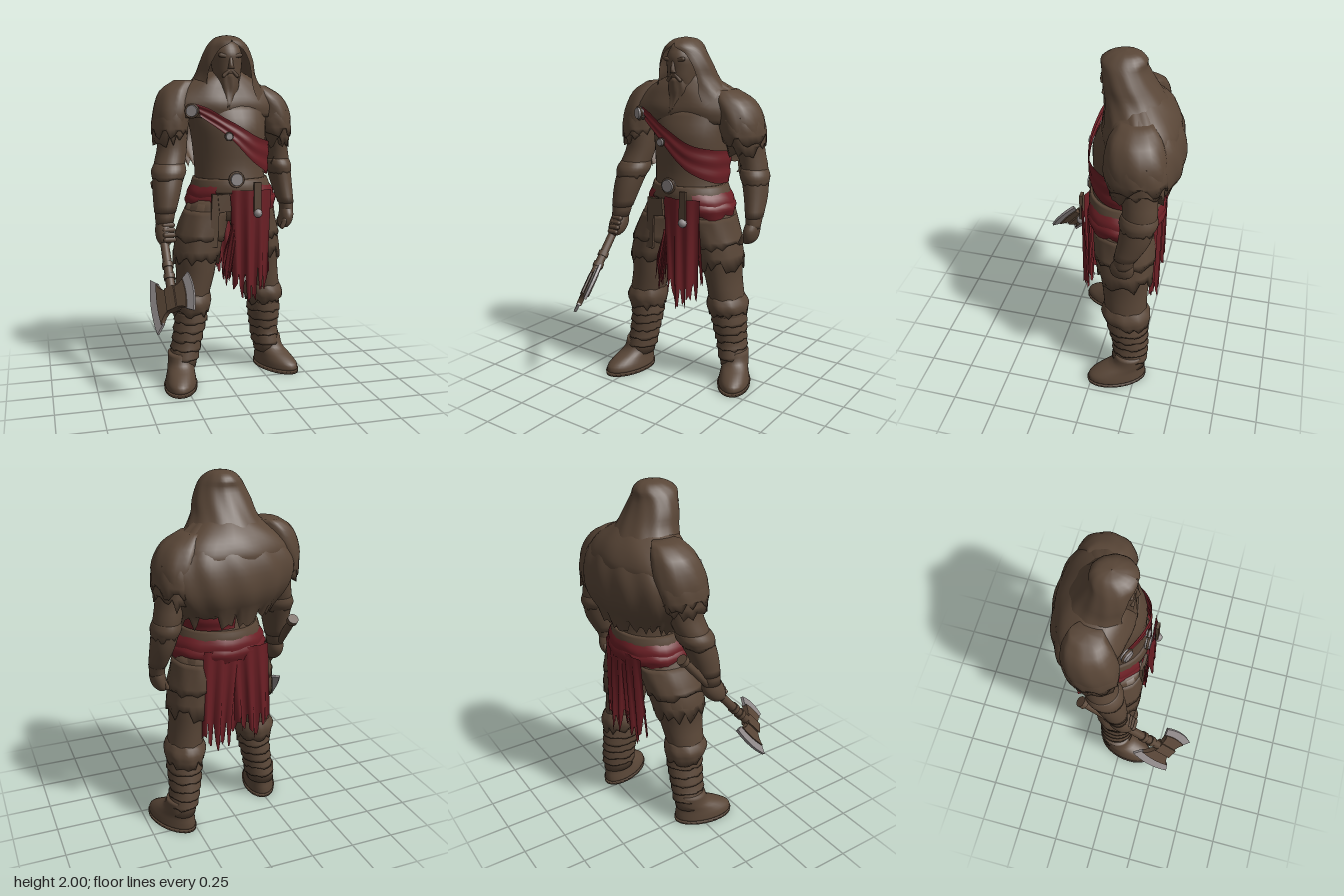
import * as THREE from 'three';

const material = (name, color, side = THREE.FrontSide) => {
  const m = new THREE.MeshStandardMaterial({ color, side });
  m.name = name;
  return m;
};
const V = (x, y, z) => new THREE.Vector3(x, y, z);
const spline = pts => new THREE.CatmullRomCurve3(pts, false, 'catmullrom');
const lerp = THREE.MathUtils.lerp;

export function createModel() {
  const root = new THREE.Group();
  root.name = 'axeWarrior';
  const brown = material('leatherBrown', 0x594637, THREE.DoubleSide);
  const red = material('clothRed', 0x6c1f25, THREE.DoubleSide);
  const metal = material('dullMetal', 0x918b8b);
  let seed = 7;
  const rand = () => (seed = (seed * 16807) % 2147483647) / 2147483647;

  const add = (name, geo, mat = brown, parent = root) => {
    const mesh = new THREE.Mesh(geo, mat);
    mesh.name = name;
    parent.add(mesh);
    return mesh;
  };
  const build = (pos, idx) => {
    const g = new THREE.BufferGeometry();
    g.setAttribute('position', new THREE.Float32BufferAttribute(pos, 3));
    g.setIndex(idx);
    g.computeVertexNormals();
    return g;
  };

  // Skin over elliptical rings [y, x, z, rx, rz, frontGap], listed from top to bottom
  function loft(name, rings, { mat = brown, seg = 30, sub = 3, jag = 0, fold = 0, folds = 9, skew = 0, parent = root } = {}) {
    const centre = spline(rings.map(r => V(r[1], r[0], r[2])));
    const size = spline(rings.map(r => V(r[3], r[4], r[5] || 0)));
    const open = rings.some(r => r[5]);
    const rows = (rings.length - 1) * sub, cols = open ? seg + 1 : seg;
    const pos = [], idx = [];
    for (let i = 0; i <= rows; i++) {
      const c = centre.getPoint(i / rows), s = size.getPoint(i / rows), gap = Math.max(0, s.z);
      for (let j = 0; j < cols; j++) {
        const a = Math.PI / 2 + gap + (j / seg) * (2 * Math.PI - 2 * gap);
        const k = 1 + fold * Math.sin(folds * a + i * 0.5);
        const drop = i === rows ? jag * (1.3 * rand() - 0.5) : 0;
        const dx = Math.cos(a) * s.x * k;
        pos.push(c.x + dx, c.y - drop, c.z + Math.sin(a) * s.y * k - skew * dx);
      }
    }
    for (let i = 0; i < rows; i++) for (let j = 0; j < seg; j++) {
      const a = i * cols + j, b = i * cols + (j + 1) % cols;
      idx.push(a, b, a + cols, b, b + cols, a + cols);
    }
    if (!open) [0, rows].forEach(i => {
      const c = centre.getPoint(i / rows), n = pos.length / 3;
      pos.push(c.x, c.y, c.z);
      for (let j = 0; j < seg; j++) {
        const a = i * cols + j, b = i * cols + (j + 1) % cols;
        i ? idx.push(n, a, b) : idx.push(n, b, a);
      }
    });
    return add(name, build(pos, idx), mat, parent);
  }
  // Ring of a limb at a given height, enlarged by k
  const ringAt = (rings, y, k = 1, gap = 0) => {
    let i = 0;
    while (i < rings.length - 2 && rings[i + 1][0] > y) i++;
    const a = rings[i], b = rings[i + 1], t = (y - a[0]) / (b[0] - a[0]);
    const r = a.map((v, n) => lerp(v, b[n], t));
    return [y, r[1], r[2], r[3] * k, r[4] * k, gap];
  };
  const band = (name, rings, y0, y1, k0, kMid, k1, opts = {}) => loft(name,
    [[y0, k0], [(y0 + y1) / 2, kMid], [y1, k1]].map(([y, k]) => ringAt(rings, y, k, opts.gap)), opts);
  // Open sheet from a rule (u, v) -> point
  const sheet = (name, nu, nv, rule, mat) => {
    const pos = [], idx = [];
    for (let j = 0; j <= nv; j++) for (let i = 0; i <= nu; i++) pos.push(...rule(i / nu, j / nv, i));
    for (let j = 0; j < nv; j++) for (let i = 0; i < nu; i++) {
      const a = j * (nu + 1) + i, c = a + nu + 1;
      idx.push(a, c, a + 1, a + 1, c, c + 1);
    }
    return add(name, build(pos, idx), mat);
  };

  // Torso
  const torso = [[1.62, .03, -.17, .25, .18], [1.5, .045, -.14, .225, .2], [1.4, .05, -.13, .215, .195],
    [1.28, .05, -.12, .205, .18], [1.18, .055, -.12, .208, .19], [1.08, .06, -.12, .24, .2], [.96, .06, -.12, .22, .17]];
  loft('torso', torso);

  // Head, face and beard
  loft('head', [[1.96, .025, -.09, .06, .07], [1.9, .025, -.08, .085, .1], [1.83, .025, -.08, .085, .098],
    [1.76, .025, -.075, .075, .085], [1.68, .025, -.12, .08, .08]]);
  loft('beard', [[1.785, .025, -.045, .058, .062], [1.72, .025, -.045, .064, .06], [1.67, .02, -.03, .048, .045],
    [1.6, .01, .0, .018, .03]], { fold: .05, jag: .02 });
  loft('nose', [[1.875, .025, .01, .01, .012], [1.83, .025, .016, .014, .02], [1.81, .025, .016, .02, .016]], { seg: 10 });
  [-1, 1].forEach(s => {
    const brow = add('brow', new THREE.CapsuleGeometry(.012, .045, 4, 8));
    brow.position.set(.025 + s * .035, 1.88, .006);
    brow.rotation.z = Math.PI / 2 + s * .2;
    const lip = add('moustache', new THREE.CapsuleGeometry(.01, .04, 4, 8));
    lip.position.set(.025 + s * .025, 1.785, .008);
    lip.rotation.z = s * .8;
  });

  // Hood, fur mantle and back cape
  loft('hood', [[2, .03, -.1, .001, .001, 0], [1.988, .03, -.1, .06, .07, 0], [1.955, .03, -.09, .1, .115, .05],
    [1.915, .03, -.09, .128, .118, .55], [1.85, .03, -.105, .155, .135, .75], [1.78, .03, -.13, .175, .155, .8],
    [1.7, .03, -.16, .225, .175, .65], [1.6, .03, -.19, .3, .2, .65]], { seg: 40, fold: .012, folds: 11 });
  loft('mantle', [[1.8, .03, -.15, .1, .1], [1.74, .02, -.165, .21, .15], [1.68, .02, -.18, .3, .185],
    [1.61, .02, -.185, .355, .21], [1.54, .02, -.185, .345, .2]], { seg: 40, fold: .012, skew: .1 });
  loft('backCape', [[1.79, .03, -.15, .12, .1, 1.3], [1.71, .03, -.175, .25, .155, 1.3], [1.62, .03, -.19, .36, .2, 1.3],
    [1.52, .03, -.2, .4, .222, 1.3], [1.4, .04, -.2, .37, .222, 1.35], [1.27, .05, -.175, .28, .18, 1.4]],
  { seg: 48, jag: .06, fold: .018, folds: 14, skew: .1 });
  const leftFur = [[1.72, .23, -.2, .06, .08], [1.66, .28, -.205, .11, .13], [1.57, .322, -.215, .118, .155],
    [1.48, .335, -.22, .112, .155], [1.4, .355, -.235, .09, .14]];
  const rightFur = [[1.75, -.2, -.165, .06, .08], [1.69, -.245, -.155, .1, .12], [1.59, -.275, -.14, .112, .145],
    [1.5, -.295, -.13, .1, .14], [1.42, -.3, -.12, .095, .125]];
  [leftFur, rightFur].forEach((fur, i) => {
    const name = i ? 'rightShoulderFur' : 'leftShoulderFur';
    loft(name, fur, { jag: .06, fold: .02, folds: 8 });
    band(name + 'Layer', fur, 1.58, 1.46, .98, 1.03, 1.05, { jag: .05, fold: .02 });
  });

  // Arms with bracers
  const leftArm = [[1.52, .34, -.23, .09, .12], [1.38, .37, -.25, .075, .095], [1.28, .39, -.26, .073, .09],
    [1.15, .412, -.245, .06, .08], [1.03, .43, -.2, .045, .06], [.96, .43, -.185, .04, .05]];
  const rightArm = [[1.52, -.285, -.12, .09, .11], [1.38, -.287, -.11, .085, .095], [1.28, -.31, -.08, .088, .092],
    [1.19, -.325, -.045, .083, .085], [1.08, -.345, -.01, .065, .07], [.96, -.358, .015, .05, .055]];
  [leftArm, rightArm].forEach((arm, i) => {
    const side = i ? 'right' : 'left';
    loft(side + 'Arm', arm);
    band(side + 'Bracer', arm, 1.25, 1.02, 1.06, 1.08, 1.06);
    band(side + 'BracerCuff', arm, 1.29, 1.2, .98, 1.16, 1.06, { jag: .02 });
  });
  loft('leftHand', [[1, .43, -.19, .036, .045], [.95, .427, -.18, .042, .065], [.9, .417, -.18, .04, .06], [.875, .41, -.18, .025, .045]]);
  loft('rightHand', [[.99, -.358, .01, .04, .045], [.93, -.36, .025, .052, .065], [.88, -.362, .045, .048, .06], [.85, -.365, .06, .03, .04]]);
  for (let f = 0; f < 4; f++) {
    const left = add('leftFinger', new THREE.CapsuleGeometry(.015, .04, 4, 8));
    left.position.set(.395, .9 + f * .003, -.13 - f * .03);
    left.rotation.z = -.4;
    const right = add('rightFinger', new THREE.CapsuleGeometry(.014, .045, 4, 8));
    right.position.set(-.345, .955 - f * .025, .065 + f * .014);
    right.rotation.z = Math.PI / 2;
  }

  // Legs, ragged trousers, knee fur, shin wraps and boots
  const leftLeg = [[1.08, .17, -.13, .14, .17], [.95, .2, -.145, .13, .165], [.8, .235, -.155, .125, .15],
    [.65, .26, -.165, .1, .13], [.5, .28, -.175, .098, .12], [.38, .288, -.19, .092, .11],
    [.25, .295, -.21, .08, .098], [.1, .315, -.21, .075, .095]];
  const rightLeg = [[1.08, -.05, -.1, .14, .17], [.95, -.11, -.085, .135, .165], [.8, -.16, -.065, .13, .15],
    [.65, -.17, -.05, .11, .125], [.5, -.2, -.04, .1, .108], [.38, -.2, -.045, .088, .1],
    [.25, -.225, -.045, .08, .092], [.1, -.255, -.04, .08, .092]];
  [leftLeg, rightLeg].forEach((leg, i) => {
    const side = i ? 'right' : 'left';
    loft(side + 'Leg', leg);
    band(side + 'TrouserFlap', leg, 1.06, .74, 1, 1.04, 1.1, { jag: .06, fold: .015 });
    band(side + 'TrouserLayer', leg, 1.02, .86, 1.02, 1.05, 1.09, { jag: .03, fold: .015 });
    band(side + 'KneeFur', leg, .55, .43, .95, 1.2, 1.12, { jag: .04, fold: .02 });
    for (let n = 0; n < 5; n++)
      band(side + 'ShinWrap', leg, .43 - n * .055, .375 - n * .055, 1, 1.06, 1.12, { seg: 24, jag: .012 });
    const boot = new THREE.Group();
    boot.name = side + 'Boot';
    root.add(boot);
    boot.position.set(i ? -.262 : .325, 0, i ? -.035 : -.21);
    boot.rotation.y = i ? -.22 : .42;
    loft('bootUpper', [[.19, 0, -.005, .075, .085], [.13, 0, .005, .077, .1], [.09, 0, .045, .08, .14], [.055, 0, .07, .087, .17], [.02, 0, .074, .092, .175]], { parent: boot });
    loft('bootSole', [[.022, 0, .074, .097, .18], [0, 0, .074, .095, .178]], { parent: boot, sub: 1 });
  });

  // Belt, waist sash open at the front, and diagonal chest sash
  band('belt', torso, 1.2, 1.12, 1.05, 1.08, 1.06);
  band('waistSashUpper', torso, 1.165, 1.08, 1.06, 1.12, 1.08, { mat: red, fold: .008, gap: .55 });
  band('waistSashLower', torso, 1.12, 1.03, 1.06, 1.13, 1.11, { mat: red, fold: .012, jag: .02, gap: .55 });
  const sashBody = [[1.66, .02, -.18, .39, .245], [1.54, .03, -.165, .33, .242], [1.42, .05, -.13, .238, .218], [1.1, .05, -.12, .222, .2]];
  const sashPath = spline([V(2.15, 1.585, .035), V(1.95, 1.54, .052), V(1.65, 1.465, .06), V(1.13, 1.365, .075),
    V(.5, 1.315, .09), V(0, 1.3, .092), V(-.8, 1.285, .08), V(-1.6, 1.28, .06)]);
  sheet('chestSash', 48, 12, (u, v) => {
    const p = sashPath.getPoint(u), y = p.y + p.z * (1 - 2 * v);
    const r = ringAt(sashBody, y, 1 + .012 * Math.sin(v * 14 + u * 5));
    return [r[1] + Math.cos(p.x) * r[3], y, r[2] + Math.sin(p.x) * r[4]];
  }, red);

  // Tattered cloths hanging from the waist
  const hangingCloth = (name, top, bottom, yTop, deep, z0, z1, bow) => {
    const ends = Array.from({ length: 29 }, (_, i) => (i % 5 === 4 ? .13 : 0) + (rand() - .5) * .07);
    sheet(name, 28, 14, (u, v, i) => {
      const low = deep + ends[i] + .16 * Math.abs(u - .5);
      const x = lerp(lerp(top[0], top[1], u), lerp(bottom[0], bottom[1], u), v);
      const wave = .013 * Math.sin(u * 19) * (.3 + v);
      return [x, lerp(yTop, low, v), lerp(z0, z1, v) + wave - bow * (2 * u - 1) ** 2];
    }, red);
  };
  hangingCloth('frontCloth', [.005, .245], [.025, .23], 1.14, .51, .108, .095, .03);
  hangingCloth('frontClothUnder', [.02, .22], [.03, .25], 1.1, .6, .075, .06, .02);
  hangingCloth('frontClothStrip', [.01, .06], [-.045, .01], .95, .6, .085, .08, 0);
  hangingCloth('backClothRight', [-.16, .06], [-.19, .02], 1.1, .55, -.325, -.31, -.02);
  hangingCloth('backClothLeft', [-.02, .21], [.02, .22], 1.1, .52, -.33, -.315, -.02);

  // Hanging straps, pouch and metal fittings
  const strap = (x, y, z, w, h, tilt = 0) => {
    const s = add('hangingStrap', new THREE.BoxGeometry(w, h, .018));
    s.position.set(x, y, z);
    s.rotation.z = tilt;
  };
  strap(.155, 1.1, .11, .04, .17);
  strap(-.085, .97, .08, .045, .3, -.05);
  strap(-.03, 1.07, .085, .07, .1, .1);
  const disc = (name, x, y, z, r, turn = 0) => {
    const g = new THREE.Group();
    g.name = name;
    g.position.set(x, y, z);
    g.rotation.y = turn;
    root.add(g);
    add('plate', new THREE.CylinderGeometry(r * .85, r, .03, 20).rotateX(Math.PI / 2), metal, g);
    add('rim', new THREE.TorusGeometry(r, r * .16, 8, 20), brown, g);
  };
  disc('beltBuckle', .04, 1.2, .085, .04);
  disc('shoulderClasp', -.2, 1.58, .03, .036, -.45);
  disc('sashRing', -.005, 1.44, .09, .022);
  add('strapTip', new THREE.SphereGeometry(.025, 12, 8), metal).position.set(.157, 1.01, .115);

  // Double-bladed axe held low in the right hand
  const axe = new THREE.Group();
  axe.name = 'axe';
  const ax = V(.709, .46, .536), ay = V(0, .76, -.65).normalize();
  axe.quaternion.setFromRotationMatrix(new THREE.Matrix4().makeBasis(ax, ay, ax.clone().cross(ay).normalize()));
  axe.position.set(-.37, .6, .3);
  root.add(axe);
  add('axeHandle', new THREE.CylinderGeometry(.022, .026, .79, 14), brown, axe).position.y = .345;
  [.73, .2, .13].forEach(y => add('handleRing', new THREE.CylinderGeometry(.031, .031, .03, 14), brown, axe).position.y = y);
  const plate = (name, draw, depth, mat) => {
    const shape = new THREE.Shape();
    draw(shape);
    add(name, new THREE.ExtrudeGeometry(shape, { depth, bevelEnabled: false, curveSegments: 8 }).translate(0, 0, -depth / 2), mat, axe);
  };
  [[-1, .15], [1, .105]].forEach(([s, h]) => {
    plate('axeCheek', p => {
      p.moveTo(0, .06);
      p.quadraticCurveTo(s * .06, .055, s * .085, h * .8);
      p.quadraticCurveTo(s * .105, 0, s * .085, -h * .8);
      p.quadraticCurveTo(s * .06, -.055, 0, -.06);
    }, .03, brown);
    plate('axeEdge', p => {
      p.moveTo(s * .078, h * .8);
      p.lineTo(s * .122, h * 1.06);
      p.quadraticCurveTo(s * .16, 0, s * .122, -h * 1.06);
      p.lineTo(s * .078, -h * .8);
      p.quadraticCurveTo(s * .1, 0, s * .078, h * .8);
    }, .016, metal);
  });
  add('axeSocket', new THREE.BoxGeometry(.06, .13, .05), brown, axe);
  return root;
}
